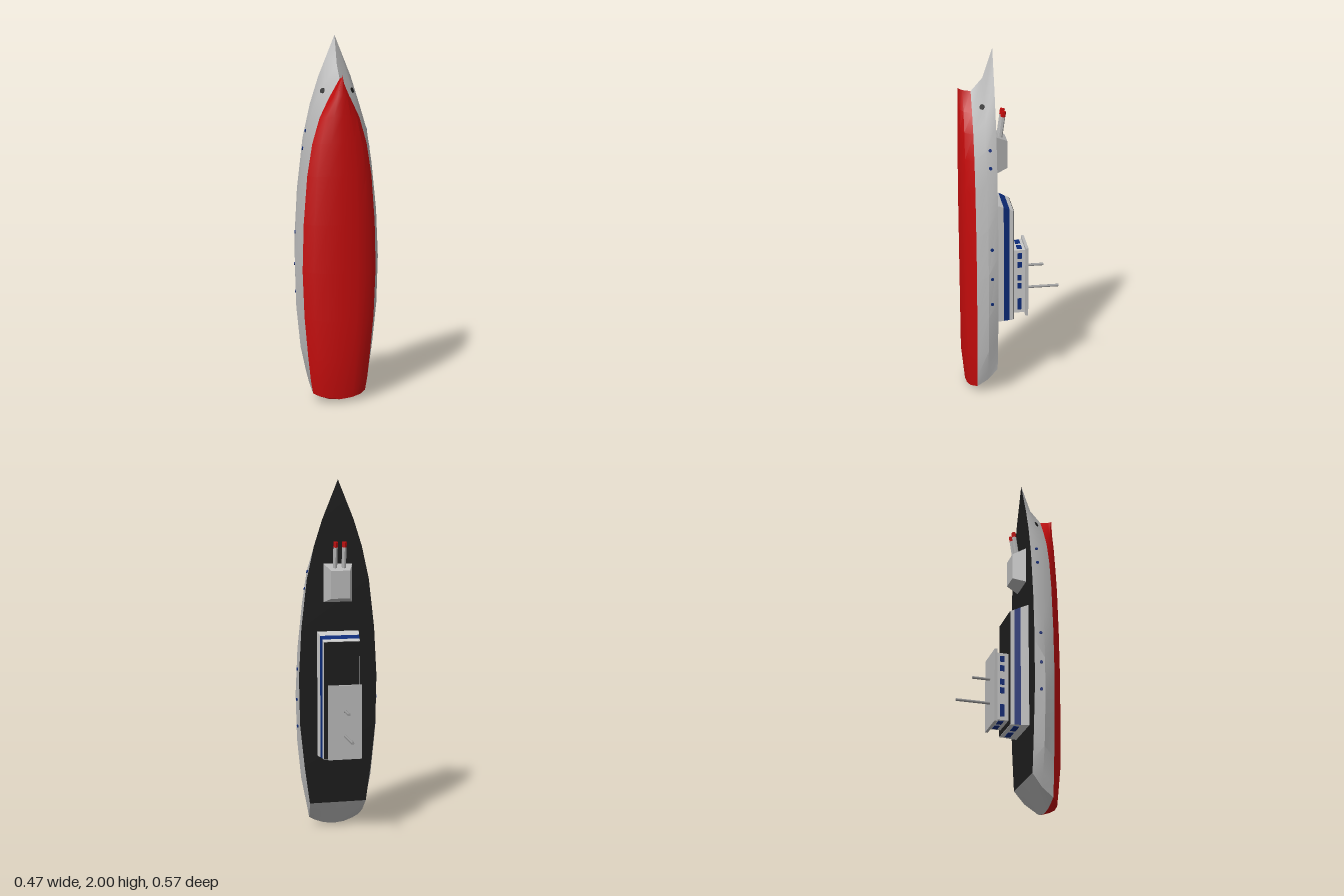
import * as THREE from 'three';
import { toCreasedNormals } from 'three/addons/utils/BufferGeometryUtils.js';

const mat = (name, color, side = THREE.FrontSide) => {
  const m = new THREE.MeshStandardMaterial({ color, side });
  m.name = name;
  return m;
};

// Ship standing on its stern: bow +y, keel +z, deck facing -z
const DECK_Z = 0.09;
const U = [0, 0.04, 0.12, 0.25, 0.4, 0.55, 0.7, 0.8, 0.88, 0.94, 1];
const WATER = [0.148, 0.16, 0.175, 0.195, 0.205, 0.198, 0.178, 0.15, 0.11, 0.06, 0];
// Hull lines: depth, stern and bow ends, half widths at each station
const LINES = [
  { z: DECK_Z, y0: 0.16, y1: 2, w: [0.165, 0.175, 0.195, 0.22, 0.225, 0.21, 0.178, 0.137, 0.09, 0.045, 0] },
  { z: 0.145, y0: 0.09, y1: 1.84, w: [0.157, 0.175, 0.205, 0.228, 0.235, 0.223, 0.195, 0.168, 0.125, 0.075, 0] },
  { z: 0.207, y0: 0.045, y1: 1.77, w: WATER },
  { z: 0.255, y0: 0.035, y1: 1.777, w: WATER.map((v) => v * 0.76) },
  { z: 0.276, y0: 0.025, y1: 1.785, w: WATER.map((v) => v * 0.42) },
  { z: 0.284, y0: 0.02, y1: 1.79, w: WATER.map(() => 0) },
];

function linePoint(l, i, sign) {
  const L = LINES[l], u = U[i];
  let z = L.z;
  if (l > 2) {
    // bottom rises slightly towards both ends
    const k = u < 0.12 ? 0.73 + (0.27 * u) / 0.12 : u > 0.7 ? 1 - (u - 0.7) / 3 : 1;
    z = 0.207 + (z - 0.207) * k;
  }
  return [sign * L.w[i], L.y0 + (L.y1 - L.y0) * u, z];
}

// Surface through rows of points
function gridGeometry(rows) {
  const n = rows[0].length, index = [];
  for (let i = 0; i < rows.length - 1; i++) {
    for (let j = 0; j < n - 1; j++) {
      const a = i * n + j;
      index.push(a, a + 1, a + n + 1, a, a + n + 1, a + n);
    }
  }
  const g = new THREE.BufferGeometry();
  g.setAttribute('position', new THREE.Float32BufferAttribute(rows.flat(2), 3));
  g.setIndex(index);
  return toCreasedNormals(g, 0.6);
}

// Half width of the hull at height y and depth z
function hullWidth(y, z) {
  const at = (L) => {
    const u = THREE.MathUtils.clamp((y - L.y0) / (L.y1 - L.y0), 0, 1);
    let i = 0;
    while (i < U.length - 2 && u > U[i + 1]) i++;
    return THREE.MathUtils.lerp(L.w[i], L.w[i + 1], (u - U[i]) / (U[i + 1] - U[i]));
  };
  const k = z < LINES[1].z ? 0 : 1, A = LINES[k], B = LINES[k + 1];
  return THREE.MathUtils.lerp(at(A), at(B), (z - A.z) / (B.z - A.z));
}

// Block tapering from [halfX, yMin, yMax, z] near the deck to another rectangle above it
function taperedBlock(base, top) {
  const g = new THREE.BoxGeometry(1, 1, 1), p = g.attributes.position;
  for (let i = 0; i < p.count; i++) {
    const r = p.getZ(i) > 0 ? base : top;
    p.setXYZ(i, Math.sign(p.getX(i)) * r[0], p.getY(i) < 0 ? r[1] : r[2], r[3]);
  }
  g.computeVertexNormals();
  return g;
}

export function createModel() {
  const root = new THREE.Group();
  root.name = 'ship';
  const grey = mat('hull grey', 0xb8b8b8);
  const white = mat('house white', 0xc8c8c8);
  const red = mat('bottom red', 0xc40c0c);
  const black = mat('deck black', 0x1c1c1c);
  const blue = mat('window blue', 0x0c2a78);
  const steel = mat('mast grey', 0x999999);

  const add = (name, geometry, material, parent = root) => {
    const m = new THREE.Mesh(geometry, material);
    m.name = name;
    parent.add(m);
    return m;
  };
  const box = (name, sx, sy, sz, x, y, z, material) =>
    add(name, new THREE.BoxGeometry(sx, sy, sz), material).position.set(x, y, z);

  // Hull sides and bottom
  const rings = U.map((_, i) => [
    ...[0, 1, 2, 3, 4, 5].map((l) => linePoint(l, i, -1)),
    ...[4, 3, 2, 1, 0].map((l) => linePoint(l, i, 1)),
  ]);
  const strip = (a, b) => gridGeometry(rings.map((r) => r.slice(a, b + 1)));
  add('rightHullSide', strip(0, 2), grey);
  add('hullBottom', strip(2, 8), red);
  add('leftHullSide', strip(8, 10), grey);

  // Rounded stern
  const S = [-1, -0.76, -0.42, 0, 0.42, 0.76, 1];
  const waterRow = S.map((s) => [s * 0.148, 0.045 * s * s, 0.207]);
  add('transom', gridGeometry([
    S.map((s) => [s * 0.165, 0.16, DECK_Z]),
    S.map((s) => [s * 0.157, 0.083 + 0.007 * s * s, 0.145]),
    waterRow,
  ]), grey);
  add('sternBottom', gridGeometry([waterRow, rings[0].slice(2, 9)]), red);

  // Deck
  add('deck', gridGeometry(rings.map((r) => [r[10], r[0]])), black);

  // Portholes and anchor holes lying on the hull sides
  const hullDisc = (name, y, z, r, material) => {
    const e = 0.008;
    const dy = (hullWidth(y + e, z) - hullWidth(y - e, z)) / (2 * e);
    const dz = (hullWidth(y, z + e) - hullWidth(y, z - e)) / (2 * e);
    for (const s of [-1, 1]) {
      const n = new THREE.Vector3(s, -dy, -dz).normalize();
      const d = add(name, new THREE.CylinderGeometry(r, r, 0.006, 10), material);
      d.position.set(s * hullWidth(y, z), y, z).addScaledVector(n, 0.001);
      d.quaternion.setFromUnitVectors(new THREE.Vector3(0, 1, 0), n);
    }
  };
  for (const y of [1.49, 1.395, 0.94, 0.765, 0.61]) hullDisc('porthole', y, 0.125, 0.009, blue);
  hullDisc('anchorHole', 1.705, 0.155, 0.015, black);

  // Lower deckhouse with a blue window band
  const a = [0.12, 0.44, 1.155, DECK_Z], b = [0.112, 0.44, 1.136, 0.046];
  const c = [0.106, 0.44, 1.12, 0.012], d = [0.104, 0.44, 1.11, -0.01];
  add('lowerHouse', taperedBlock(a, b), white);
  add('windowBand', taperedBlock(b, c), [blue, blue, blue, white, blue, blue]);
  add('houseRim', taperedBlock(c, d), white);
  box('houseRoof', 0.204, 0.664, 0.004, 0, 0.775, -0.011, black);
  for (const s of [-1, 1]) box('rearWindow', 0.07, 0.005, 0.03, s * 0.05, 0.439, 0.029, blue);

  // Bridge with windows and an overhanging roof
  box('bridge', 0.154, 0.39, 0.07, 0, 0.665, -0.045, white);
  box('bridgeRoof', 0.19, 0.42, 0.016, 0, 0.665, -0.088, grey);
  for (const s of [-1, 1]) {
    for (const y of [0.47, 0.86]) box('bridgeEndWindow', 0.05, 0.005, 0.029, s * 0.036, y, -0.05, blue);
    for (const [y, len] of [[0.825, 0.034], [0.77, 0.034], [0.69, 0.034], [0.64, 0.034], [0.525, 0.07]])
      box('bridgeSideWindow', 0.005, len, 0.024, s * 0.077, y, -0.048, blue);
  }

  // Masts
  for (const [y, tip] of [[0.73, -0.195], [0.59, -0.285]]) {
    const len = -0.09 - tip;
    const m = add('mast', new THREE.CylinderGeometry(0.008, 0.008, len, 8), steel);
    m.rotation.x = Math.PI / 2;
    m.position.set(0, y, tip + len / 2);
  }

  // Gun turret with twin red-tipped barrels
  add('turret', taperedBlock([0.082, 1.32, 1.535, DECK_Z], [0.054, 1.345, 1.5, 0.018]), grey);
  for (const s of [-1, 1]) {
    const gun = new THREE.Group();
    gun.name = 'gun';
    gun.position.set(s * 0.025, 1.47, 0.06);
    gun.rotation.x = -0.14;
    root.add(gun);
    add('barrel', toCreasedNormals(new THREE.CylinderGeometry(0.013, 0.013, 0.16, 6), 0.5), grey, gun).position.y = 0.08;
    add('barrelTip', toCreasedNormals(new THREE.CylinderGeometry(0.0135, 0.0135, 0.03, 6), 0.5), red, gun).position.y = 0.175;
  }
  return root;
}
